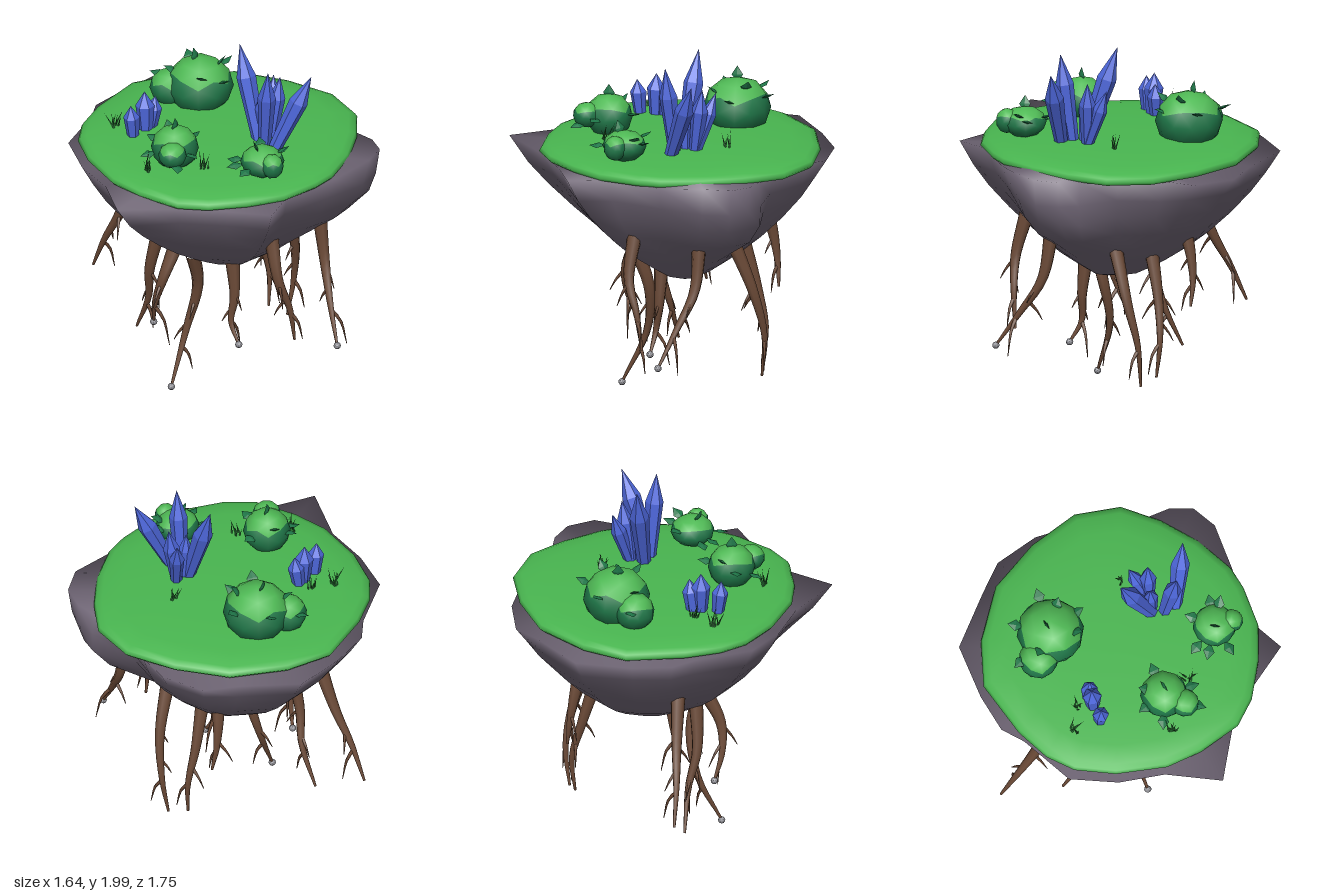
import * as THREE from 'three';
import { toCreasedNormals } from 'three/addons/utils/BufferGeometryUtils.js';

const V = (x, y, z) => new THREE.Vector3(x, y, z);
const { lerp, clamp } = THREE.MathUtils;
const mat = (name, color, extra = {}) => Object.assign(new THREE.MeshStandardMaterial({ color, ...extra }), { name });

// Closed smooth surface through rings ordered from top to bottom
function loft(rings) {
  const n = rings[0].length, pos = [], idx = [];
  rings.forEach(r => r.forEach(p => pos.push(p.x, p.y, p.z)));
  for (let i = 0; i < rings.length - 1; i++) {
    for (let j = 0; j < n; j++) {
      const a = i * n + j, b = i * n + (j + 1) % n;
      idx.push(a, b, a + n, b, b + n, a + n);
    }
  }
  const g = new THREE.BufferGeometry();
  g.setAttribute('position', new THREE.Float32BufferAttribute(pos, 3));
  g.setIndex(idx);
  return toCreasedNormals(g.toNonIndexed(), Math.PI);
}

// Tube along a curve that narrows to its end
function taperedTube(points, r0, r1, segs, sides) {
  const curve = new THREE.CatmullRomCurve3(points);
  const g = new THREE.TubeGeometry(curve, segs, 1, sides), p = g.attributes.position, v = V();
  for (let i = 0; i <= segs; i++) {
    const c = curve.getPointAt(i / segs), r = lerp(r0, r1, i / segs);
    for (let j = 0; j <= sides; j++) {
      const k = i * (sides + 1) + j;
      v.fromBufferAttribute(p, k).sub(c).multiplyScalar(r).add(c);
      p.setXYZ(k, v.x, v.y, v.z);
    }
  }
  return g;
}

export function createModel() {
  const root = new THREE.Group();
  const grassMat = mat('grassGreen', 0x49b650);
  const bushMat = mat('bushGreen', 0x4fba55);
  const darkMat = mat('deepGreen', 0x1f7648);
  const bladeMat = mat('bladeGreen', 0x2c7a3a, { side: THREE.DoubleSide });
  const rockMat = mat('rockGrey', 0x736979);
  const barkMat = mat('barkBrown', 0x6a4936);
  const crystalMat = mat('crystalBlue', 0x4d66d9, { flatShading: true });
  const pebbleMat = mat('pebbleGrey', 0x94949a, { flatShading: true });
  let seed = 7;
  const rnd = () => (seed = (seed * 16807) % 2147483647) / 2147483647;
  const add = (name, geo, m, parent = root) => {
    const mesh = new THREE.Mesh(geo, m);
    mesh.name = name;
    parent.add(mesh);
    return mesh;
  };
  const group = name => {
    const g = new THREE.Group();
    g.name = name;
    root.add(g);
    return g;
  };
  const UP = V(0, 1, 0);

  // Rock: jagged rim (x, z, y, steepness of the wall below) shrinking to an off-centre tip, fuller towards -x
  const rim = [[.757, -.1, 1.4], [.66, .2, 1.4], [.71, .42, 1.4], [.47, .51, 1.39], [.22, .65, 1.39], [0, .87, 1.415],
    [-.23, .65, 1.39], [-.46, .54, 1.385], [-.67, .37, 1.395], [-.74, .05, 1.39], [-.8, -.08, 1.385], [-.78, -.3, 1.38],
    [-.71, -.6, 1.39], [-.42, -.78, 1.39], [-.25, -.88, 1.365], [0, -.88, 1.37], [.15, -.82, 1.4], [.35, -.66, 1.4],
    [.56, -.61, 1.4, 1], [.68, -.58, 1.41, .8], [.785, -.5, 1.42, .7], [.82, -.35, 1.43, .4]];
  const tip = V(.09, .68, -.11);
  const levels = [[1, 1.4], [.91, 1.27], [.81, 1.16], [.67, 1.04], [.52, .93], [.39, .85], [.24, .77], [.12, .71], [0, .68]];
  const body = levels.map(([f, y], i) => rim.map(([x, z, top, steep = 0]) => {
    const dx = x - tip.x, dz = z - tip.z, d = Math.hypot(dx, dz);
    const full = f ** (1 - .3 * clamp(-dx / .6, 0, 1));
    const wall = lerp(full, 1, steep * clamp((y - .9) / .3, 0, 1));
    const s = wall * lerp(1, .8 / d, Math.min(.6, i * .13));
    return V(tip.x + dx * s, i ? y : top, tip.z + dz * s);
  }));
  add('rock', loft([rim.map(() => V(0, 1.385, -.09)), ...body]), rockMat);

  // Grass: shallow domed disc with a rounded lip
  const edge = [[.75, -.1], [.74, .03], [.68, .25], [.56, .42], [.4, .58], [.25, .66], [0, .665], [-.2, .63], [-.45, .5],
    [-.62, .35], [-.7, .2], [-.74, 0], [-.74, -.33], [-.6, -.55], [-.35, -.76], [-.05, -.84], [.24, -.85], [.47, -.74],
    [.6, -.55], [.7, -.33]];
  const lawn = [[0, 1.485], [.5, 1.48], [.8, 1.466], [.94, 1.45], [.985, 1.435], [1, 1.415], [.98, 1.398], [.92, 1.388], [0, 1.385]];
  add('grass', loft(lawn.map(([f, y]) => edge.map(([x, z]) => V(x * f, y, -.09 + (z + .09) * f)))), grassMat);

  // Crystals: six-sided shards widening upwards, then pointed
  const crystals = group('crystals');
  [[[.25, 1.44, -.13], [.075, 1.99, -.19], .054], [[.3, 1.44, -.1], [.355, 1.957, -.055], .05],
    [[.36, 1.44, -.08], [.52, 1.905, -.23], .052], [[.27, 1.44, -.2], [.3, 1.83, -.25], .046],
    [[.28, 1.44, -.2], [.215, 1.79, -.31], .042], [[.26, 1.44, -.15], [.245, 1.76, -.15], .04],
    [[-.33, 1.44, .12], [-.34, 1.705, .12], .052], [[-.33, 1.44, .08], [-.31, 1.66, .06], .046],
    [[-.35, 1.44, .21], [-.355, 1.66, .23], .045]].forEach(([a, b, r]) => {
    const from = V(...a), dir = V(...b).sub(from), h = dir.length();
    const g = new THREE.LatheGeometry([[0, 0], [r * .65, 0], [r, h * .68], [0, h]].map(p => new THREE.Vector2(...p)), 6);
    const m = add('crystal', g, crystalMat, crystals);
    m.position.copy(from);
    m.quaternion.setFromUnitVectors(UP, dir.normalize());
  });

  // Bushes: two-tone balls with a zigzag border
  function ball(parent, x, y, z, rx, ry) {
    const g = new THREE.IcosahedronGeometry(1, 1), p = g.attributes.position;
    for (let i = 0; i < p.count; i += 3) {
      g.addGroup(i, 3, p.getY(i) + p.getY(i + 1) + p.getY(i + 2) > 1.1 ? 0 : 1);
    }
    const m = add('bushBall', g, [bushMat, darkMat], parent);
    m.position.set(x, y, z);
    m.scale.set(rx, ry, rx);
    m.rotation.y = x * 7;
  }
  // Each bush: balls, then leaf positions
  [{ balls: [[-.29, 1.56, -.335, .185, .165], [-.43, 1.54, -.25, .11, .105]],
    leaves: [[-.24, 1.64, -.51], [-.44, 1.64, -.45], [-.125, 1.63, -.32], [-.32, 1.73, -.33], [-.2, 1.7, -.4],
      [-.53, 1.58, -.28], [-.42, 1.65, -.25], [-.2, 1.67, -.22]] },
  { balls: [[0, 1.56, .32, .13, .125], [.06, 1.575, .43, .078, .07]],
    leaves: [[.03, 1.58, .185], [-.13, 1.58, .33], [-.09, 1.54, .44], [.145, 1.57, .37], [.12, 1.53, .47], [0, 1.69, .32],
      [-.08, 1.63, .26]] },
  { balls: [[.46, 1.54, .15, .12, .085], [.55, 1.55, .185, .062, .07]],
    leaves: [[.31, 1.52, .19], [.38, 1.58, .055], [.51, 1.57, .04], [.45, 1.53, .3], [.35, 1.52, .25], [.54, 1.6, .08],
      [.44, 1.63, .18]] }].forEach(({ balls, leaves }) => {
    const bush = group('bush');
    balls.forEach(b => ball(bush, ...b));
    const c = V(...balls[0]);
    leaves.forEach(l => {
      // Flat diamond pointing outwards, broad face up
      const leaf = add('leaf', new THREE.OctahedronGeometry(1), darkMat, bush);
      const out = V(...l).sub(c).normalize(), across = V(-out.z, .2, out.x + .01).cross(out).cross(out).normalize();
      leaf.position.set(...l);
      leaf.scale.set(.032, .048, .008);
      leaf.quaternion.setFromRotationMatrix(new THREE.Matrix4().makeBasis(across, out, across.clone().cross(out)));
    });
  });

  // Grass tufts: thin leaning blades
  [[.2, -.37], [-.41, .08], [-.5, .18], [.18, .31], [-.07, .48]].forEach(([x, z]) => {
    const tuft = group('grassTuft');
    for (let i = 0; i < 7; i++) {
      const h = .06 + rnd() * .06, g = new THREE.ConeGeometry(.007, h, 3);
      g.translate(0, h / 2, 0);
      const b = add('grassBlade', g, bladeMat, tuft);
      b.position.set(x + (rnd() - .5) * .04, 1.46, z + (rnd() - .5) * .04);
      b.rotation.set((rnd() - .5) * .9, 0, (rnd() - .5) * .9);
    }
  });

  // Hanging roots: tapered tubes with rootlets, some ending in a pebble
  [[[[-.5, 1.06, -.02], [-.62, .78, -.04], [-.72, .6, -.05], [-.81, .4, -.07]], 0],
    [[[.54, 1.05, -.28], [.59, .77, -.26], [.68, .58, -.18], [.785, .385, -.095]], 1],
    [[[.48, 1.04, .09], [.54, .8, .11], [.58, .62, .06], [.59, .42, .03]], 0],
    [[[.02, .84, .18], [0, .6, .1], [-.06, .33, .12], [-.065, .025, .26]], 1],
    [[[-.1, .84, .17], [-.13, .66, .25], [-.18, .5, .25], [-.22, .355, .205]], 1],
    [[[-.25, .89, .1], [-.32, .6, .1], [-.36, .4, .05], [-.46, .17, .02]], 0],
    [[[.16, .77, 0], [.18, .55, .01], [.17, .4, .03], [.235, .285, .05]], 1],
    [[[.22, .96, -.4], [.21, .65, -.52], [.17, .4, -.57], [.14, .17, -.55]], 0],
    [[[0, .93, -.41], [0, .62, -.5], [.02, .4, -.55], [.03, .2, -.53]], 0],
    [[[-.15, 1.04, -.52], [-.17, .86, -.56], [-.17, .72, -.58], [-.15, .59, -.59]], 0]].forEach(([pts, pebble]) => {
    const p = pts.map(q => V(...q)), g = group('hangingRoot'), curve = new THREE.CatmullRomCurve3(p);
    add('rootStem', taperedTube(p, .042, .007, 14, 7), barkMat, g);
    [.4, .58, .74].forEach((t, i) => {
      const a = curve.getPointAt(t), ang = i * 2.4 + rnd() * 2, len = .1 + rnd() * .07;
      const side = V(Math.cos(ang), 0, Math.sin(ang)).multiplyScalar(len * .55);
      const mid = a.clone().addScaledVector(side, .6).add(V(0, -len * .4, 0));
      const end = a.clone().add(side).add(V(0, -len * (i === 2 ? 1.3 : .8), 0));
      add('rootlet', taperedTube([a, mid, end], .012, .002, 5, 5), barkMat, g);
    });
    if (pebble) add('pebble', new THREE.IcosahedronGeometry(.02, 1), pebbleMat, g).position.copy(p[3]);
  });
  return root;
}
